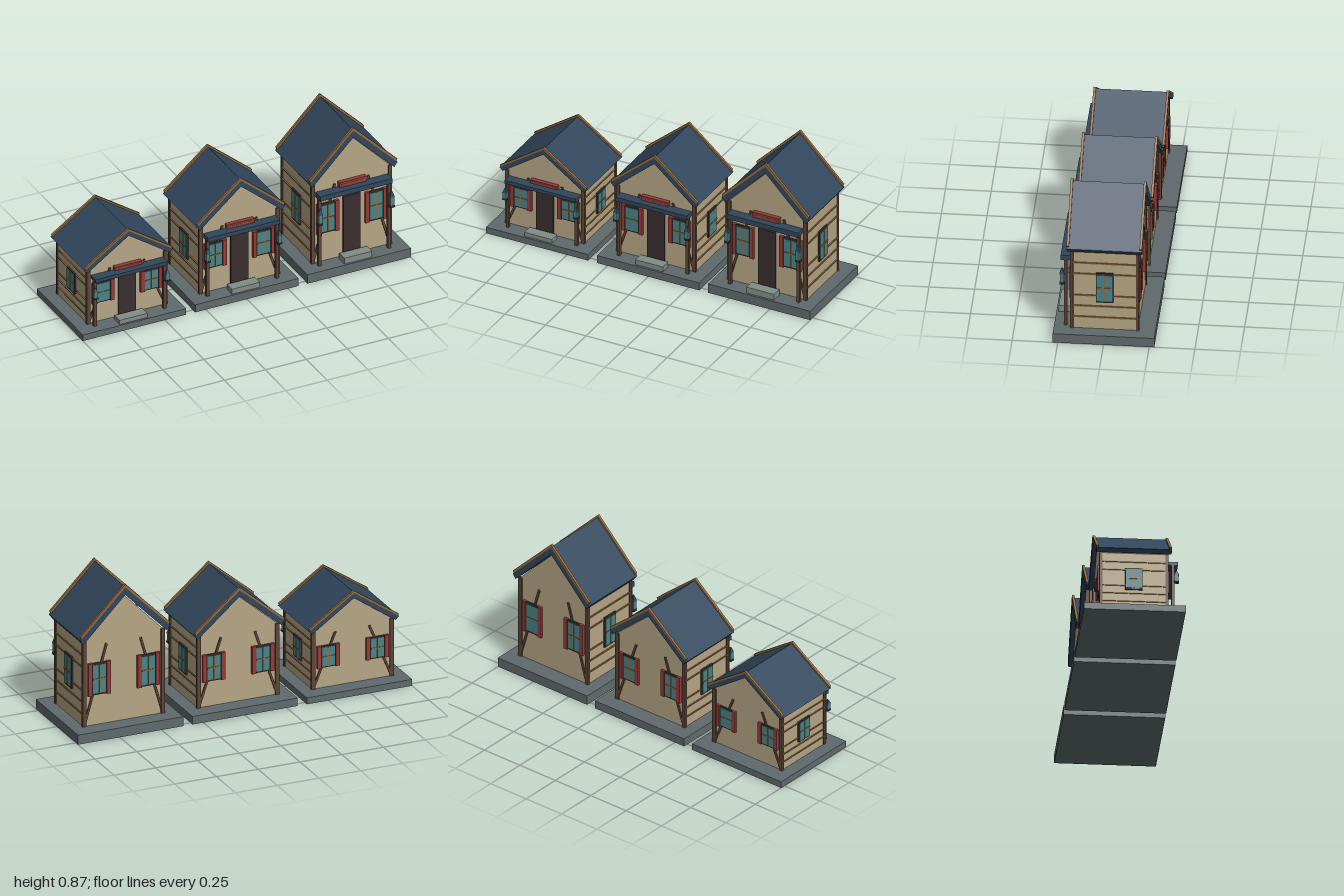
import * as THREE from 'three';

const mat = (name, color) => {
  const m = new THREE.MeshStandardMaterial({ color });
  m.name = name;
  return m;
};

export function createModel() {
  const M = {
    stone: mat('grey stone', 0x5f6a6c),
    step: mat('pale stone', 0x838d87),
    wall: mat('tan plaster', 0xb5a584),
    roof: mat('slate blue', 0x31465c),
    timber: mat('brown timber', 0x5c4436),
    trim: mat('golden trim', 0x936a3c),
    dark: mat('dark wood', 0x3a2e2f),
    glass: mat('teal glass', 0x488488),
    red: mat('red paint', 0x943a38),
  };

  const add = (parent, name, geo, material, x = 0, y = 0, z = 0) => {
    const mesh = new THREE.Mesh(geo, material);
    mesh.name = name;
    mesh.position.set(x, y, z);
    parent.add(mesh);
    return mesh;
  };
  // Box given by its ranges on each axis
  const box = (parent, name, material, x0, x1, y0, y1, z0, z1) =>
    add(parent, name, new THREE.BoxGeometry(x1 - x0, y1 - y0, z1 - z0), material,
      (x0 + x1) / 2, (y0 + y1) / 2, (z0 + z1) / 2);
  // Outline extruded along z
  const prism = (parent, name, material, pts, z0, z1) => {
    const shape = new THREE.Shape(pts.map(p => new THREE.Vector2(...p)));
    const geo = new THREE.ExtrudeGeometry(shape, { depth: z1 - z0, bevelEnabled: false });
    return add(parent, name, geo, material, 0, 0, z0);
  };
  // Gable-shaped band: top and underside of one slope, mirrored
  const chevron = (top, tipTop, tipLow, low) => [
    [0, top], [-tipTop[0], tipTop[1]], [-tipLow[0], tipLow[1]],
    [0, low], tipLow, tipTop,
  ];

  // Window lying in the xy plane, facing +z, centred on its origin
  function makeWindow(name, w, h, shutters) {
    const g = new THREE.Group();
    g.name = name;
    box(g, 'windowFrame', M.dark, -w / 2, w / 2, -h / 2, h / 2, -0.004, 0.006);
    box(g, 'windowGlass', M.glass, -w / 2 + 0.004, w / 2 - 0.004, -h / 2 + 0.011, h / 2 - 0.011, 0, 0.009);
    box(g, 'muntin', M.trim, -0.003, 0.003, -h / 2 + 0.011, h / 2 - 0.011, 0.002, 0.012);
    box(g, 'muntin', M.trim, -w / 2 + 0.004, w / 2 - 0.004, -0.004, 0.004, 0.002, 0.0125);
    if (shutters) for (const s of [-1, 1]) {
      const c = s * (w / 2 + 0.012);
      box(g, 'shutter', M.red, c - 0.012, c + 0.012, -h / 2 - 0.002, h / 2 + 0.002, -0.004, 0.013);
    }
    return g;
  }

  function makeLantern() {
    const g = new THREE.Group();
    g.name = 'lantern';
    box(g, 'lanternBase', M.dark, -0.014, 0.014, 0.323, 0.335, -0.013, 0.013);
    box(g, 'lanternGlass', M.glass, -0.011, 0.011, 0.335, 0.387, -0.011, 0.011);
    const cap = new THREE.CylinderGeometry(0.005, 0.019, 0.035, 4).toNonIndexed();
    cap.computeVertexNormals();
    add(g, 'lanternCap', cap, M.roof, 0, 0.4045, 0).rotation.y = Math.PI / 4;
    return g;
  }

  function makeHouse() {
    const h = new THREE.Group();
    h.name = 'house';
    box(h, 'foundation', M.stone, -0.315, 0.315, 0, 0.056, -0.278, 0.278);
    prism(h, 'walls', M.wall,
      [[-0.24, 0.056], [0.24, 0.056], [0.24, 0.552], [0, 0.797], [-0.24, 0.552]], -0.18, 0.18);

    // Roof and verge boards
    prism(h, 'roof', M.roof, chevron(0.851, [0.27, 0.578], [0.25, 0.55], 0.803), -0.206, 0.206);
    for (const z of [-0.2, 0.2])
      prism(h, 'vergeBoard', M.trim, chevron(0.867, [0.268, 0.598], [0.262, 0.585], 0.847), z - 0.007, z + 0.007);

    // Doorway, step, sign and canopy
    box(h, 'door', M.dark, -0.053, 0.053, 0.056, 0.433, 0.175, 0.19);
    box(h, 'step', M.step, -0.085, 0.085, 0.056, 0.093, 0.204, 0.266);
    box(h, 'signBoard', M.red, -0.083, 0.083, 0.45, 0.536, 0.178, 0.204);
    box(h, 'signStripe', M.trim, -0.07, 0.07, 0.518, 0.523, 0.2, 0.206);
    box(h, 'canopy', M.roof, -0.22, 0.22, 0.475, 0.505, 0.186, 0.243);

    for (const s of [-1, 1]) {
      // Porch posts and lanterns
      const px = s * 0.212;
      box(h, 'porchPost', M.timber, px - 0.009, px + 0.009, 0.056, 0.475, 0.207, 0.225);
      const lantern = makeLantern();
      lantern.position.set(s * 0.219, 0, 0.235);
      h.add(lantern);

      // Side wall battens and window
      for (const y of [0.13, 0.2, 0.268, 0.406, 0.476])
        box(h, 'batten', M.trim, s * 0.241 - 0.005, s * 0.241 + 0.005, y - 0.004, y + 0.004, -0.172, 0.172);
      const side = makeWindow('sideWindow', 0.094, 0.188, false);
      side.position.set(s * 0.244, 0.324, 0);
      side.rotation.y = s * Math.PI / 2;
      h.add(side);

      for (const f of [-1, 1]) {
        // Corner posts
        box(h, 'cornerPost', M.timber, s * 0.235 - 0.011, s * 0.235 + 0.011, 0.056, 0.555,
          f * 0.18 - 0.008, f * 0.18 + 0.008);
        // Shuttered windows on front and back
        const win = makeWindow(f > 0 ? 'frontWindow' : 'backWindow', 0.086, 0.188, true);
        win.position.set(s * 0.147, 0.328, f * 0.183);
        if (f < 0) win.rotation.y = Math.PI;
        h.add(win);
        // Slanted timber running behind each window
        const a = new THREE.Vector2(s * 0.228, 0.085), b = new THREE.Vector2(s * 0.102, 0.525);
        const d = b.clone().sub(a);
        const brace = add(h, 'brace', new THREE.BoxGeometry(0.013, d.length(), 0.012), M.timber,
          (a.x + b.x) / 2, (a.y + b.y) / 2, f * 0.181);
        brace.rotation.z = Math.atan2(d.y, d.x) - Math.PI / 2;
      }
    }
    return h;
  }

  // Three houses in a row, rising in height
  const model = new THREE.Group();
  model.name = 'houseRow';
  [0.679, 0.84, 1].forEach((height, i) => {
    const house = makeHouse();
    house.position.x = (i - 1) * 0.685;
    house.scale.y = height;
    model.add(house);
  });
  return model;
}
